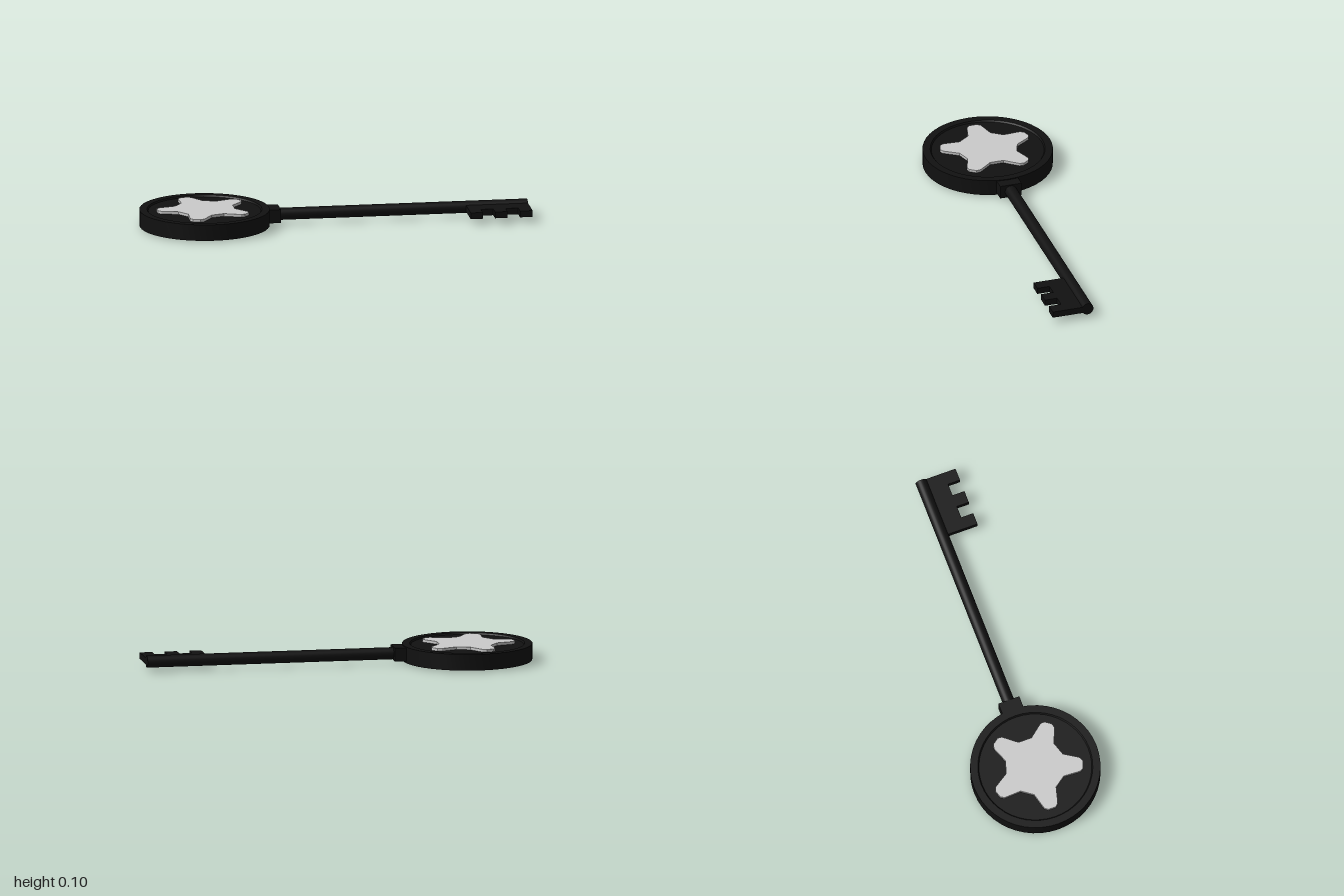
import * as THREE from 'three';
import { toCreasedNormals } from 'three/addons/utils/BufferGeometryUtils.js';

const MID = 0.049; // height of the key's centre plane
const HEAD_X = -0.667;

export function createModel() {
  const key = new THREE.Group();
  key.name = 'key';
  const black = new THREE.MeshStandardMaterial({ color: 0x111111 });
  const grey = new THREE.MeshStandardMaterial({ color: 0xcccccc });

  const add = (name, geometry, material, x, y, z) => {
    const mesh = new THREE.Mesh(geometry, material);
    mesh.name = name;
    mesh.position.set(x, y, z);
    key.add(mesh);
    return mesh;
  };

  // Flat plate in the x-z plane, centred on its own thickness
  const plate = (points, thickness) => {
    const shape = new THREE.Shape(points.map(([x, z]) => new THREE.Vector2(x, z)));
    const geometry = new THREE.ExtrudeGeometry(shape, { depth: thickness, bevelEnabled: false });
    geometry.translate(0, 0, -thickness / 2);
    return geometry.rotateX(Math.PI / 2);
  };

  // Round head with a slightly raised rim on both faces
  const profile = [
    [0, -0.034], [0.288, -0.034], [0.294, -0.042], [0.333, -0.042],
    [0.333, 0.042], [0.294, 0.042], [0.288, 0.034], [0, 0.034],
  ].map(([r, y]) => new THREE.Vector2(r, y));
  const head = toCreasedNormals(new THREE.LatheGeometry(profile, 48), 0.5);
  add('head', head, black, HEAD_X, MID, 0);

  // Five-armed emblem running through the head; one arm repeated around
  const arm = [
    [0.143, -0.06], [0.2, -0.045], [0.229, -0.037], [0.244, -0.02],
    [0.244, 0.02], [0.229, 0.037], [0.2, 0.045], [0.143, 0.06],
  ];
  const star = [];
  for (let i = 0; i < 5; i++) {
    const a = Math.PI + (i * Math.PI * 2) / 5;
    const c = Math.cos(a), s = Math.sin(a);
    for (const [r, w] of arm) star.push([r * c - w * s, r * s + w * c]);
  }
  add('starInlay', plate(star, 0.096), grey, HEAD_X, MID, 0);

  // Collar between head and shaft
  add('collar', new THREE.BoxGeometry(0.08, 0.07, 0.114), black, -0.32, MID + 0.003, 0);

  // Round shaft
  const shaft = new THREE.CylinderGeometry(0.031, 0.031, 1.34, 24).rotateZ(Math.PI / 2);
  add('shaft', shaft, black, 0.33, MID + 0.002, 0);

  // Toothed bit on the front side of the tip
  const bit = [
    [0.68, 0], [1, 0], [1, 0.187], [0.935, 0.187], [0.935, 0.122], [0.87, 0.122],
    [0.87, 0.187], [0.806, 0.187], [0.806, 0.122], [0.742, 0.122], [0.742, 0.187], [0.68, 0.187],
  ];
  add('bit', plate(bit, 0.033), black, 0, MID, 0);

  return key;
}
